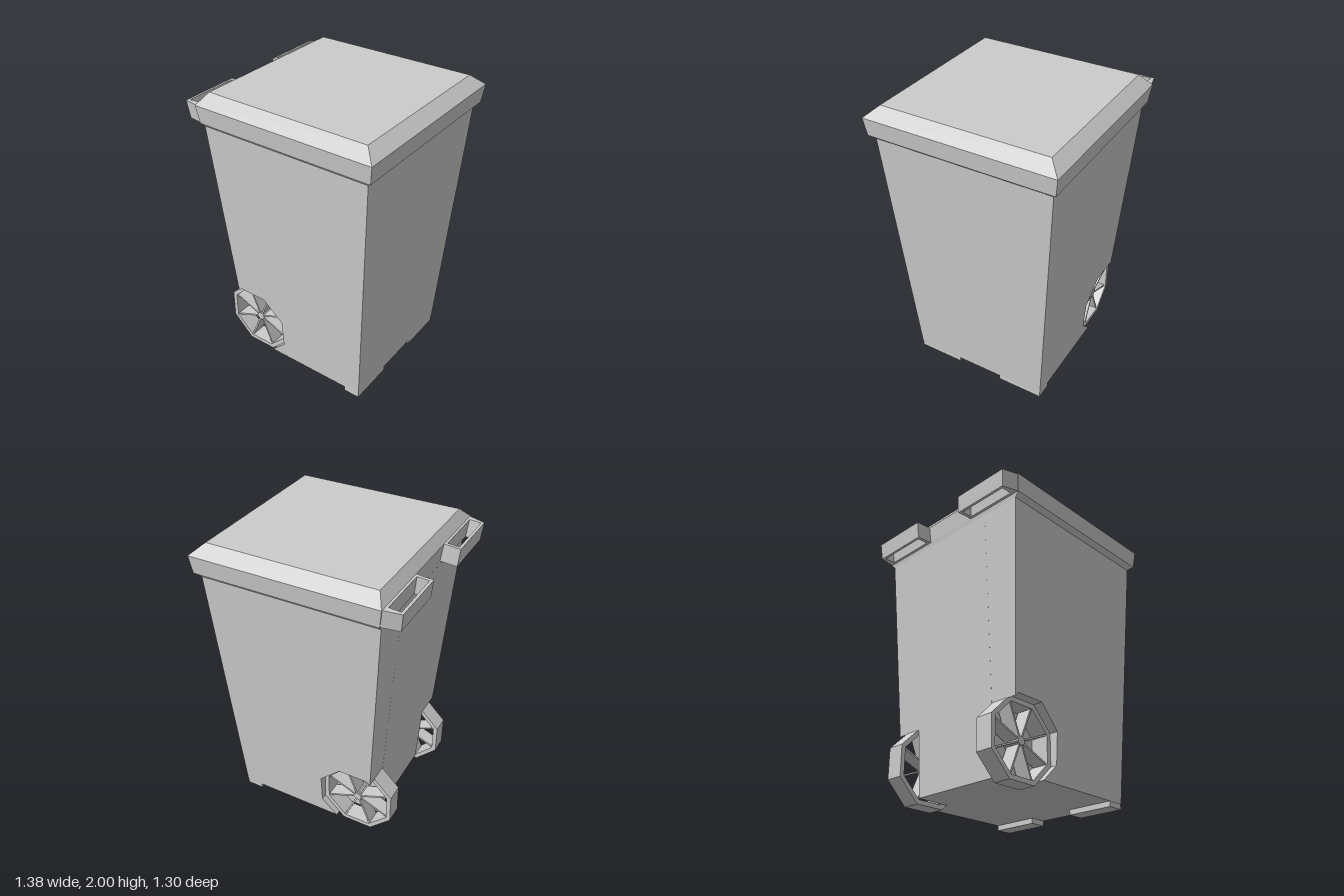
import * as THREE from 'three';

const material = new THREE.MeshStandardMaterial({ color: 0xcccccc, flatShading: true });
const FLOOR = 0.035, RIM = 1.78;
const backX = (y) => -0.45 - 0.062 * y;
const frontX = (y) => 0.53 + 0.062 * y;
const sideZ = (y) => 0.49 + 0.064 * y;

function part(name, geometry) {
  const mesh = new THREE.Mesh(geometry, material);
  mesh.name = name;
  return mesh;
}

function shapeOf(points) {
  return new THREE.Shape(points.map(([x, y]) => new THREE.Vector2(x, y)));
}

function extrude(shape, depth, z = 0) {
  return new THREE.ExtrudeGeometry(shape, { depth, bevelEnabled: false }).translate(0, 0, z);
}

// Moves every vertex by a rule, then refreshes the normals.
function reshape(geometry, rule) {
  const pos = geometry.attributes.position;
  const v = new THREE.Vector3();
  for (let i = 0; i < pos.count; i++) {
    v.fromBufferAttribute(pos, i);
    rule(v);
    pos.setXYZ(i, v.x, v.y, v.z);
  }
  geometry.computeVertexNormals();
  return geometry;
}

// Solid through rectangular sections [y, x0, x1, halfZ], from bottom to top.
function loft(sections) {
  const rings = sections.map(([y, x0, x1, z]) => [[x0, y, z], [x1, y, z], [x1, y, -z], [x0, y, -z]]);
  const out = [];
  const quad = (a, b, c, d) => out.push(...a, ...b, ...c, ...a, ...c, ...d);
  for (let i = 0; i < rings.length - 1; i++) {
    const lo = rings[i], hi = rings[i + 1];
    for (let k = 0; k < 4; k++) quad(lo[k], lo[(k + 1) % 4], hi[(k + 1) % 4], hi[k]);
  }
  const first = rings[0], last = rings[rings.length - 1];
  quad(first[3], first[2], first[1], first[0]);
  quad(...last);
  const geometry = new THREE.BufferGeometry();
  geometry.setAttribute('position', new THREE.Float32BufferAttribute(out, 3));
  geometry.computeVertexNormals();
  return geometry;
}

function octagon(apothem) {
  const r = apothem / Math.cos(Math.PI / 8);
  return Array.from({ length: 8 }, (_, k) => {
    const a = Math.PI / 8 + (k * Math.PI) / 4;
    return [r * Math.cos(a), r * Math.sin(a)];
  });
}

// Octagonal spoked wheel, centred on its own axle.
function makeWheel() {
  const wheel = new THREE.Group();
  const rim = shapeOf(octagon(0.25));
  rim.holes.push(shapeOf(octagon(0.22)));
  wheel.add(part('rim', extrude(rim, 0.12, -0.06)));
  wheel.add(part('hub', extrude(shapeOf(octagon(0.027)), 0.12, -0.065)));
  for (let k = 0; k < 8; k++) {
    const spoke = part('spoke', new THREE.BoxGeometry(0.215, 0.012, 0.1).translate(0.13, 0, 0));
    spoke.rotation.z = Math.PI / 8 + (k * Math.PI) / 4;
    wheel.add(spoke);
  }
  return wheel;
}

// Slotted grip frame, leaning with the lid skirt.
function makeHandle() {
  const frame = shapeOf([[-0.572, 0.205], [-0.572, 0.645], [-0.69, 0.615], [-0.69, 0.205]]);
  frame.holes.push(shapeOf([[-0.672, 0.228], [-0.595, 0.228], [-0.595, 0.597], [-0.672, 0.597]]));
  const geometry = extrude(frame, 0.12).rotateX(Math.PI / 2).translate(0, 1.93, 0);
  return reshape(geometry, (v) => {
    if (v.y < 1.87) {
      v.x += 0.012;
      v.z *= 0.98;
    }
    v.y += 0.08 * (v.x + 0.58);
  });
}

export function createModel() {
  const model = new THREE.Group();
  model.name = 'wheeledBin';

  // Tapered body: a centre slab and two side slabs with wheel cutouts
  const top = [[frontX(RIM), RIM], [backX(RIM), RIM]];
  const core = shapeOf([[backX(FLOOR), FLOOR], [frontX(FLOOR), FLOOR], ...top]);
  model.add(part('bodyCore', extrude(core, 0.66, -0.33)));

  const cutout = [[-0.479, 0.476], [-0.455, 0.5], [-0.251, 0.5], [-0.105, 0.354], [-0.105, 0.146], [-0.216, FLOOR]];
  const side = shapeOf([[frontX(FLOOR), FLOOR], ...top, ...cutout]);
  const sideGeometry = reshape(extrude(side, 0.1, 0.33), (v) => {
    if (v.z > 0.4) v.z = sideZ(v.y);
  });
  const handleGeometry = makeHandle();

  for (const s of [1, -1]) {
    const label = s > 0 ? 'front' : 'rear';

    const panel = part(label + 'BodySide', sideGeometry);
    panel.scale.z = s;
    model.add(panel);

    // Corner feet
    const foot = part(label + 'Foot', new THREE.BoxGeometry(0.115, FLOOR, 0.325));
    foot.position.set(0.4725, FLOOR / 2, s * 0.3275);
    model.add(foot);

    const wheel = makeWheel();
    wheel.name = label + 'Wheel';
    wheel.position.set(-0.355, 0.25, s * 0.395);
    wheel.scale.z = s;
    model.add(wheel);

    const handle = part(label + 'Handle', handleGeometry);
    handle.scale.z = s;
    model.add(handle);
  }

  // Lid: flared lip, skirt and bevelled top, flush with the body at the back
  model.add(part('lid', loft([
    [RIM, -0.56, 0.64, 0.604],
    [1.81, -0.565, 0.675, 0.635],
    [1.93, -0.58, 0.69, 0.65],
    [2, -0.53, 0.61, 0.57],
  ])));

  return model;
}
